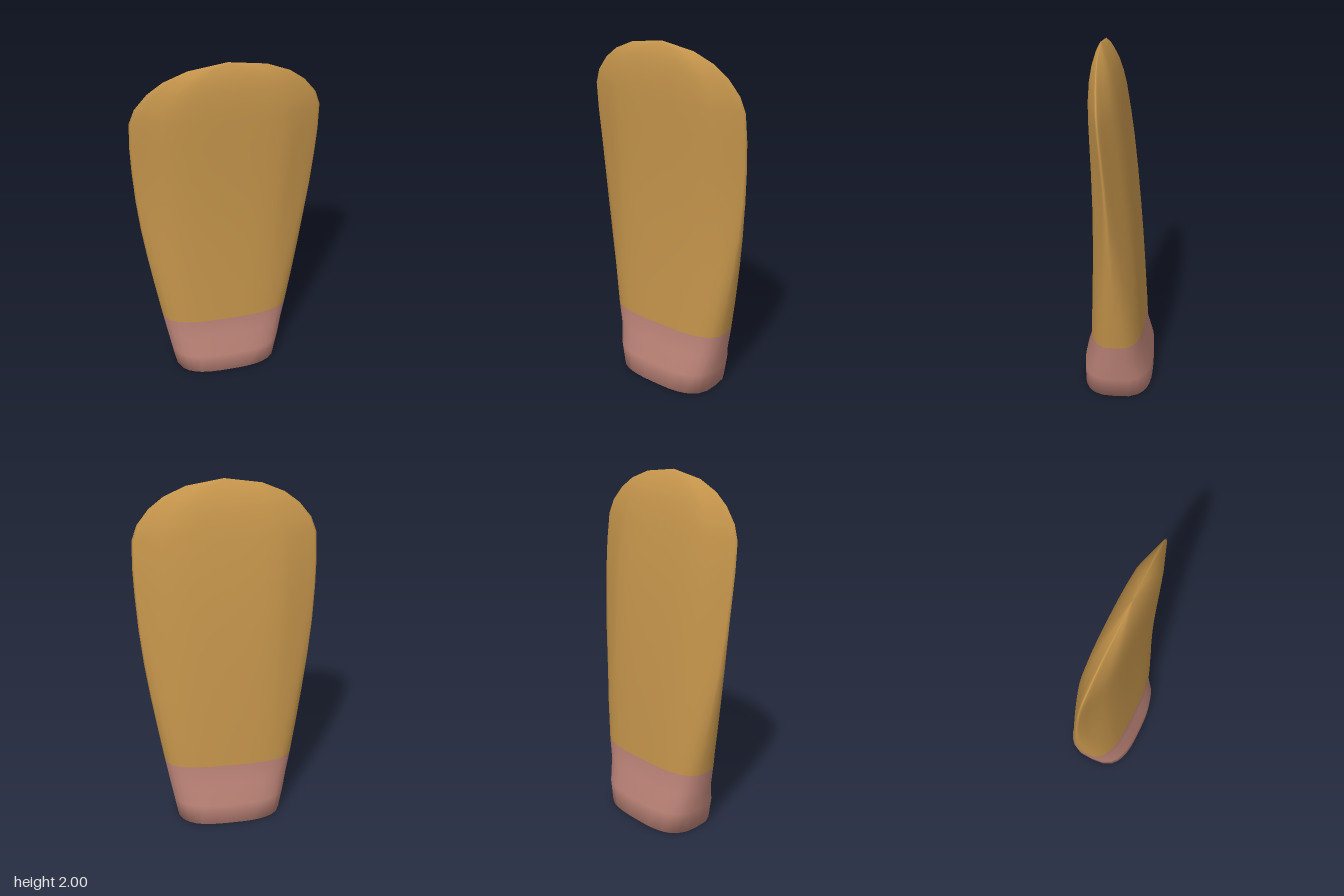
import * as THREE from 'three';

// Horizontal sections: height, half width, front z, back z
const ROWS = [
  [0, 0, 0, 0], [0, 0.2, 0.13, -0.13], [0, 0.31, 0.2, -0.2], // flat base
  [0.13, 0.332, 0.2, -0.2], [0.25, 0.353, 0.16, -0.16], [0.38, 0.375, 0.155, -0.153],
  [0.6, 0.41, 0.146, -0.138], [0.8, 0.44, 0.14, -0.124], [1.0, 0.466, 0.136, -0.107],
  [1.2, 0.485, 0.135, -0.088], [1.4, 0.496, 0.138, -0.065], [1.55, 0.5, 0.142, -0.043],
  [1.7, 0.495, 0.146, -0.018], [1.78, 0.465, 0.146, -0.001], [1.86, 0.4, 0.143, 0.02],
  [1.92, 0.32, 0.134, 0.044], [1.97, 0.2, 0.12, 0.073], [2, 0, 0.1, 0.1],
];
const COLLAR_ROWS = 5; // bands below the colour change

// Quarter outline from side edge to middle: full at the base, bevelled higher up
const ACROSS = [1, 0.98, 0.9, 0.8, 0.68, 0.56, 0.38, 0.2, 0];
const BEVEL = [0, 0.1, 0.25, 0.45, 0.69, 0.88, 0.96, 0.99, 1];

function sectionRing([y, half, front, back]) {
  const t = THREE.MathUtils.smoothstep(y, 0.3, 1.4);
  const mid = (front + back) / 2;
  const quarter = ACROSS.map((u, i) => [u, THREE.MathUtils.lerp(Math.cbrt(1 - u ** 3), BEVEL[i], t)]);
  const frontHalf = [...quarter, ...quarter.slice(0, -1).reverse().map(([u, w]) => [-u, w])];
  const backHalf = frontHalf.slice(1, -1).reverse().map(([u, w]) => [u, -w]);
  return [...frontHalf, ...backHalf].map(([u, w]) => [u * half, y, mid + w * (front - back) / 2]);
}

function loft(rings) {
  const n = rings[0].length;
  const index = [];
  for (let i = 0; i < rings.length - 1; i++) {
    for (let j = 0; j < n; j++) {
      const k = (j + 1) % n;
      const a = i * n + j, b = i * n + k, c = a + n, d = b + n;
      index.push(a, c, b, b, c, d);
    }
  }
  const geometry = new THREE.BufferGeometry();
  geometry.setAttribute('position', new THREE.Float32BufferAttribute(rings.flat(2), 3));
  geometry.setIndex(index);
  geometry.computeVertexNormals();
  const split = COLLAR_ROWS * n * 6;
  geometry.addGroup(0, split, 0);
  geometry.addGroup(split, index.length - split, 1);
  return geometry;
}

export function createModel() {
  const pink = new THREE.MeshStandardMaterial({ color: 0xbd8478 });
  pink.name = 'dusty pink';
  const ochre = new THREE.MeshStandardMaterial({ color: 0xc4944b });
  ochre.name = 'ochre';

  // One smooth blade with a pink collar at its foot
  const blade = new THREE.Mesh(loft(ROWS.map(sectionRing)), [pink, ochre]);
  blade.name = 'bladeWithCollar';

  const model = new THREE.Group();
  model.name = 'roundedBlade';
  model.add(blade);
  return model;
}
